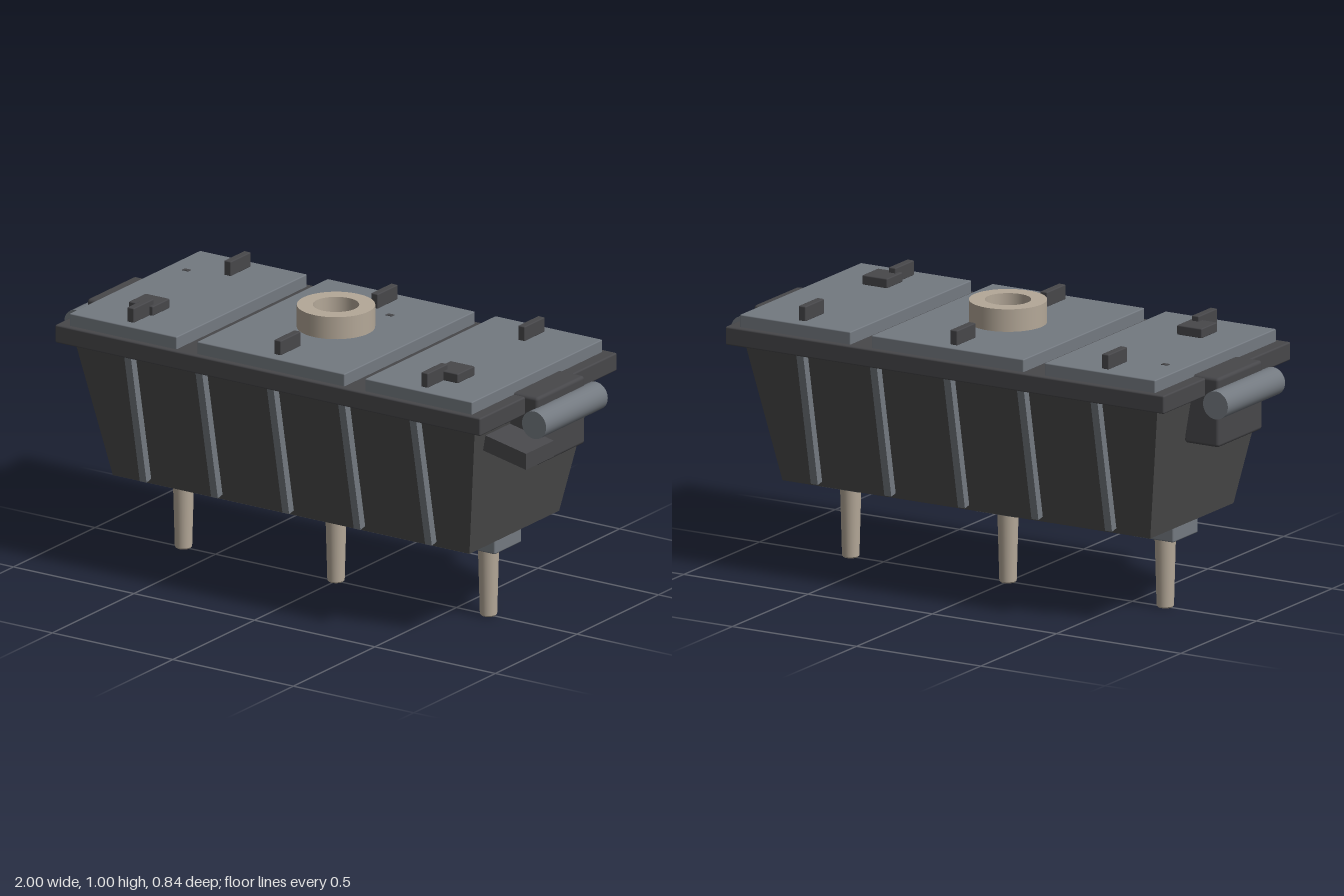
import * as THREE from 'three';
import { RoundedBoxGeometry } from 'three/addons/geometries/RoundedBoxGeometry.js';

const mat = (name, color) => {
  const m = new THREE.MeshStandardMaterial({ color });
  m.name = name;
  return m;
};

export function createModel() {
  const group = new THREE.Group();
  const shell = mat('charcoal shell', 0x4a4a4a);
  const trim = mat('dark trim', 0x47474a);
  const steel = mat('blue grey steel', 0x737980);
  const tan = mat('warm beige', 0xb4a898);

  const add = (name, geometry, material, x = 0, y = 0, z = 0) => {
    const mesh = new THREE.Mesh(geometry, material);
    mesh.name = name;
    mesh.position.set(x, y, z);
    group.add(mesh);
    return mesh;
  };
  const box = (w, h, d) => new THREE.BoxGeometry(w, h, d);
  const rounded = (w, h, d, r) => new RoundedBoxGeometry(w, h, d, 2, r);

  // Hopper body: a box narrowed towards its base
  const body = box(1.66, 0.5, 0.75);
  const p = body.attributes.position;
  for (let i = 0; i < p.count; i++) {
    if (p.getY(i) < 0) {
      p.setX(i, Math.sign(p.getX(i)) * 0.74);
      p.setZ(i, Math.sign(p.getZ(i)) * 0.275);
    }
  }
  body.computeVertexNormals();
  add('hopperBody', body, shell, 0, 0.57, 0);

  // Rim and three lid panels
  add('rim', rounded(1.765, 0.065, 0.84, 0.006), trim, 0, 0.848, 0);
  for (const [x, w] of [[-0.613, 0.445], [0, 0.612], [0.613, 0.445]]) {
    add('lidPanel', rounded(w, 0.05, 0.8, 0.004), steel, x, 0.9, 0);
  }

  // Filler ring on the centre lid
  const ring = [[0.08, 0.92], [0.135, 0.92], [0.135, 1.005], [0.08, 1.005], [0.08, 0.92]];
  const ringProfile = [];
  for (let i = 0; i < 4; i++) {
    ringProfile.push(ring[i], ring[i + 1]);
  }
  // Each side is its own lathe so the edges stay sharp
  for (let i = 0; i < 8; i += 2) {
    const points = [ringProfile[i], ringProfile[i + 1]].map((q) => new THREE.Vector2(q[0], q[1]));
    add('fillerRing', new THREE.LatheGeometry(points, 40), tan);
  }

  // Lid grips, catch plates and small marks
  for (const x of [-0.61, 0, 0.61]) {
    for (const s of [-1, 1]) {
      add('lidGrip', rounded(0.028, 0.054, 0.124, 0.004), trim, x, 0.95, s * 0.297);
    }
  }
  for (const s of [-1, 1]) {
    add('catchPlate', rounded(0.1, 0.035, 0.104, 0.004), trim, s * 0.633, 0.941, 0.21);
  }
  for (const x of [-0.757, 0.088]) {
    add('lidMark', box(0.025, 0.004, 0.018), trim, x, 0.925, -0.202);
  }

  // Sloping ribs on the front and back walls
  const slope = Math.atan2(0.1, 0.5);
  for (let i = -2; i <= 2; i++) {
    for (const s of [-1, 1]) {
      const rib = add('wallRib', box(0.028, 0.49, 0.038), steel, i * 0.296, 0.577, s * 0.337);
      rib.rotation.x = s * slope;
    }
  }

  // End brackets with round handles
  for (const s of [-1, 1]) {
    add('handleBracket', rounded(0.14, 0.247, 0.292, 0.012), trim, s * 0.866, 0.763, 0);
    const grip = add('handleBar', new THREE.CylinderGeometry(0.05, 0.05, 0.378, 32), steel, s * 0.95, 0.804, 0);
    grip.rotation.x = Math.PI / 2;
  }

  // Sloping chute beside the bracket
  const chute = new THREE.Shape([[0.76, 0.785], [0.76, 0.727], [0.99, 0.68], [0.99, 0.738]]
    .map((q) => new THREE.Vector2(q[0], q[1])));
  add('sideChute', new THREE.ExtrudeGeometry(chute, { depth: 0.17, bevelEnabled: false }), trim, 0, 0, 0.127);

  // Feet: square mount with a tapered leg
  for (const x of [-0.633, 0, 0.633]) {
    add('legMount', rounded(0.165, 0.065, 0.165, 0.006), steel, x, 0.289, 0);
    add('leg', new THREE.CylinderGeometry(0.037, 0.03, 0.255, 24), tan, x, 0.1325, 0);
    add('legTip', new THREE.CylinderGeometry(0.03, 0.026, 0.005, 24), tan, x, 0.0025, 0);
  }

  return group;
}
